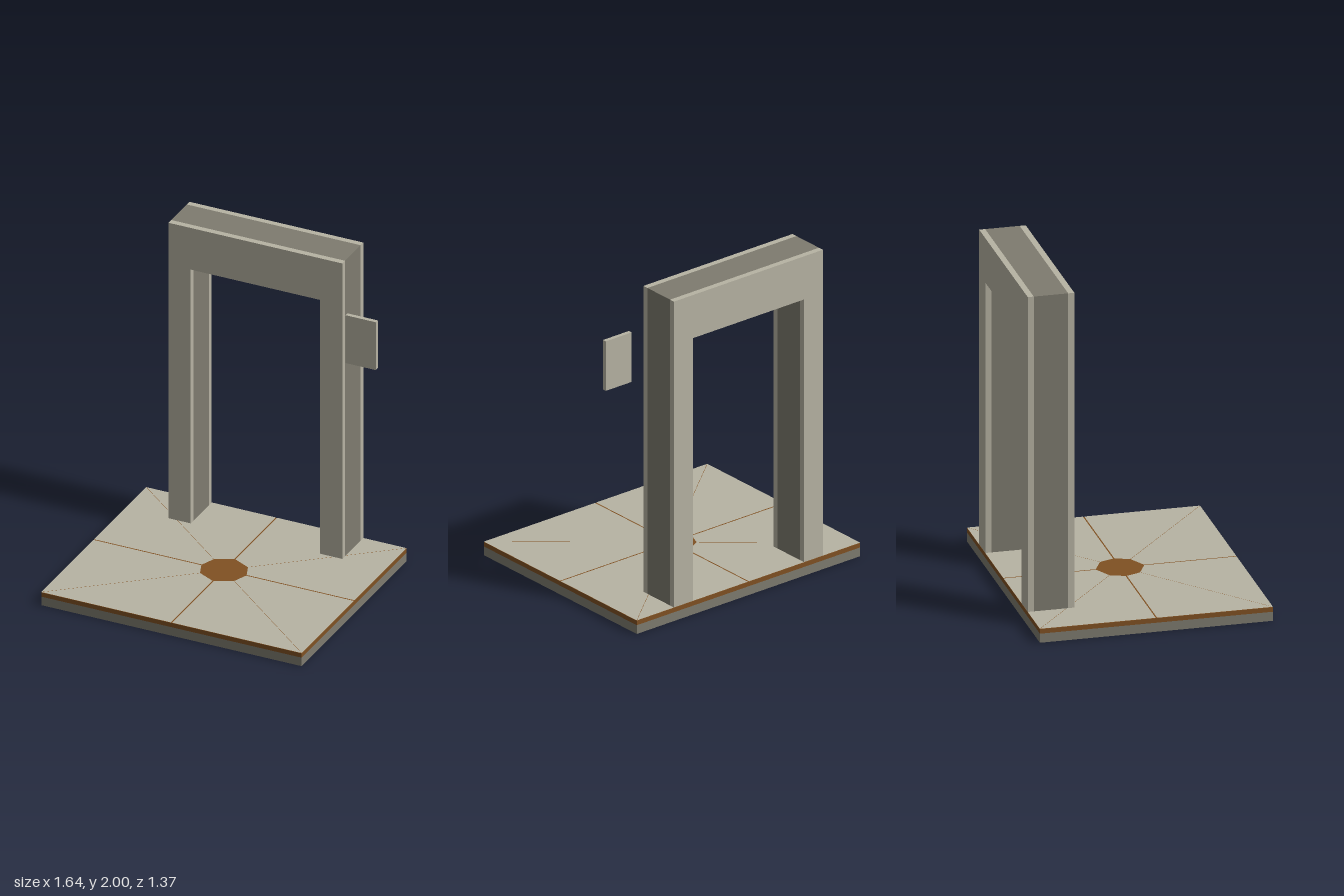
import * as THREE from 'three';

export function createModel() {
  const model = new THREE.Group();
  model.name = 'doorwayDisplay';

  const mat = (name, color) => {
    const m = new THREE.MeshStandardMaterial({ color });
    m.name = name;
    return m;
  };
  const beige = mat('warm beige', 0xb7b3a3);
  const grey = mat('dark warm grey', 0x7e7b6f);
  const brown = mat('rust brown', 0x805122);

  const add = (parent, name, geometry, material, x = 0, y = 0, z = 0) => {
    const mesh = new THREE.Mesh(geometry, material);
    mesh.name = name;
    mesh.position.set(x, y, z);
    parent.add(mesh);
    return mesh;
  };
  const outline = pts => new THREE.Shape(pts.map(([x, y]) => new THREE.Vector2(x, y)));

  // Layered floor slab
  const W = 0.82, D = 0.683, TOP = 0.085;
  add(model, 'floorBase', new THREE.BoxGeometry(W * 2, 0.055, D * 2), grey, 0, 0.0275, 0);
  add(model, 'floorCore', new THREE.BoxGeometry(W * 2, 0.028, D * 2), brown, 0, 0.069, 0);

  // Eight floor panels around an octagonal opening, with narrow seams between
  const panels = new THREE.Group();
  panels.name = 'floorPanels';
  model.add(panels);
  const R = 0.141, OX = 0.108, OZ = 0.09; // octagon corners on the axes and diagonals
  const seam = 0.004, diag = 0.0015; // half widths of the seams
  for (const sx of [1, -1]) {
    for (const sz of [1, -1]) {
      const side = [[R, seam], [W, seam], [W, D - diag], [OX, OZ - diag]];
      const end = [[seam, R], [OX - diag, OZ], [W - diag, D], [seam, D]];
      for (const pts of [side, end]) {
        const shape = outline(pts.map(([x, z]) => [x * sx, z * sz]));
        const geo = new THREE.ShapeGeometry(shape).rotateX(-Math.PI / 2);
        add(panels, 'floorPanel', geo, beige, 0, TOP, 0);
      }
    }
  }

  // Doorway: dark core between a front and a back face plate
  const frame = new THREE.Group();
  frame.name = 'doorway';
  model.add(frame);
  const OUT = 0.547, IN = 0.408, LINTEL = 1.73, H = 2;
  const arch = outline([
    [-OUT, TOP], [-IN, TOP], [-IN, LINTEL], [IN, LINTEL],
    [IN, TOP], [OUT, TOP], [OUT, H], [-OUT, H],
  ]);
  const layer = (name, z0, z1, material) => add(frame, name,
    new THREE.ExtrudeGeometry(arch, { depth: z1 - z0, bevelEnabled: false }), material, 0, 0, z0);
  layer('backPlate', -D, -0.648, beige);
  layer('doorwayCore', -0.648, -0.446, grey);
  layer('frontPlate', -0.446, -0.41, beige);

  // Small panel floating beside the doorway
  add(model, 'sidePanel', new THREE.BoxGeometry(0.19, 0.31, 0.025), beige, 0.695, 1.555, -0.357);

  return model;
}
